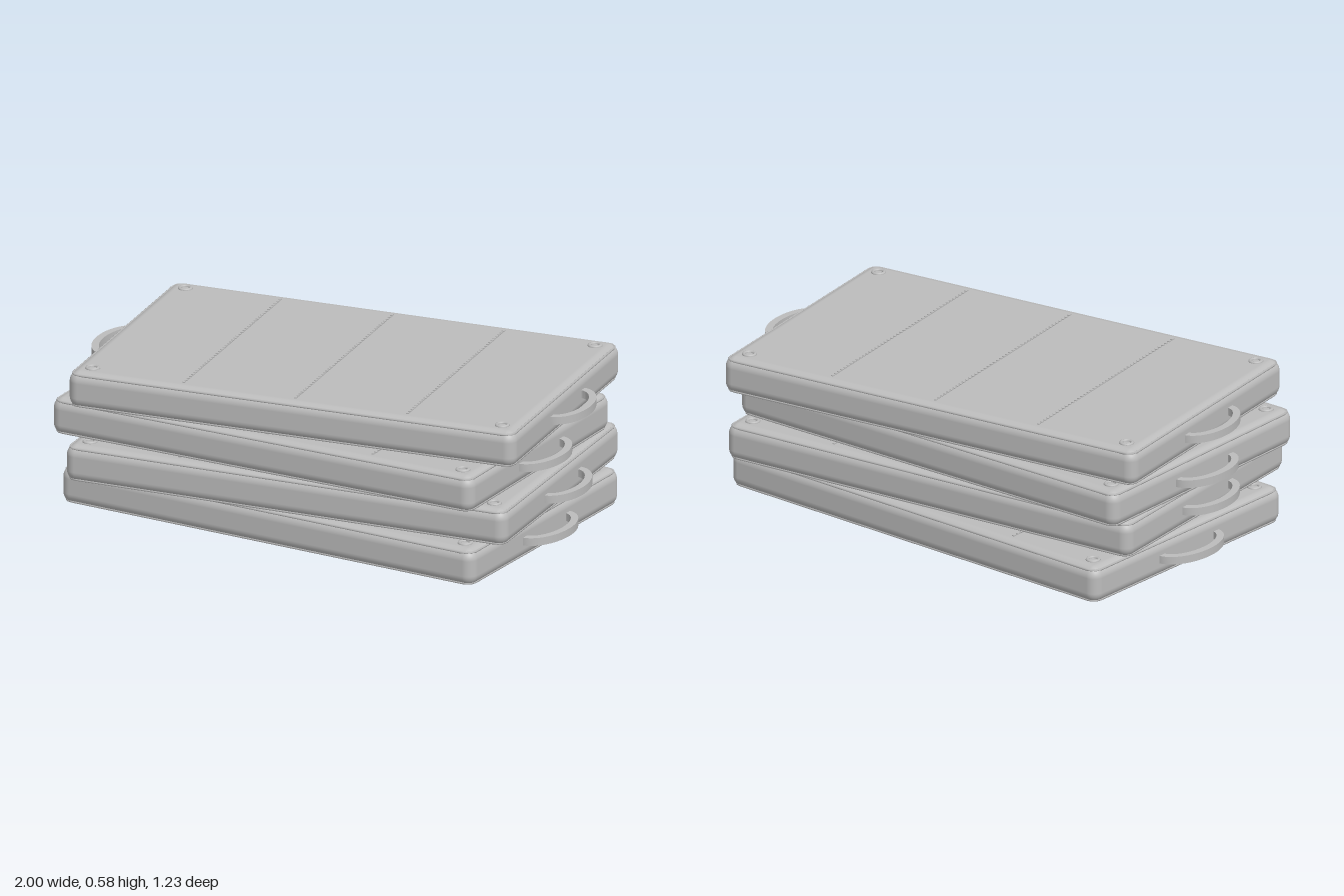
import * as THREE from 'three';
import { RoundedBoxGeometry } from 'three/addons/geometries/RoundedBoxGeometry.js';
import { toCreasedNormals } from 'three/addons/utils/BufferGeometryUtils.js';

const LENGTH = 1.768, WIDTH = 1.062, THICK = 0.143, PITCH = 0.1445, ROUND = 0.042;

// Closed tube that follows the rounded outline of a mat
function pipingGeometry() {
  const inset = ROUND * 0.29, r = 0.032;
  const x = LENGTH / 2 - inset - r, z = WIDTH / 2 - inset - r;
  const outline = new THREE.Shape();
  outline.absarc(x, z, r, 0, Math.PI / 2);
  outline.absarc(-x, z, r, Math.PI / 2, Math.PI);
  outline.absarc(-x, -z, r, Math.PI, Math.PI * 1.5);
  outline.absarc(x, -z, r, Math.PI * 1.5, Math.PI * 2);
  outline.closePath();
  const points = outline.getSpacedPoints(240).slice(0, -1).map(p => new THREE.Vector3(p.x, 0, p.y));
  return new THREE.TubeGeometry(new THREE.CatmullRomCurve3(points, true), 300, 0.005, 5, true);
}

// Flat strap bent into half an ellipse, bulging towards +x
function handleGeometry() {
  const strap = new THREE.Shape();
  strap.absellipse(0, 0, 0.1, 0.167, -Math.PI / 2, Math.PI / 2, false);
  strap.absellipse(0, 0, 0.072, 0.138, Math.PI / 2, -Math.PI / 2, true);
  const geo = new THREE.ExtrudeGeometry(strap, { depth: 0.03, bevelEnabled: false, curveSegments: 16 });
  geo.translate(LENGTH / 2 - 0.006, 0, -0.015);
  geo.rotateX(Math.PI / 2);
  return toCreasedNormals(geo, 0.6);
}

export function createModel() {
  const model = new THREE.Group();
  model.name = 'matStack';
  const grey = new THREE.MeshStandardMaterial({ color: 0xbcbcbc });
  grey.name = 'grey';

  const bodyGeo = new RoundedBoxGeometry(LENGTH, THICK, WIDTH, 5, ROUND);
  const pipingGeo = pipingGeometry();
  const handleGeo = handleGeometry();
  const stitchGeo = new THREE.BoxGeometry(0.01, 0.006, 0.014);
  const ringGeo = new THREE.TorusGeometry(0.021, 0.007, 8, 24).rotateX(Math.PI / 2);

  const add = (parent, geo, name, x = 0, y = 0, z = 0) => {
    const mesh = new THREE.Mesh(geo, grey);
    mesh.name = name;
    mesh.position.set(x, y, z);
    parent.add(mesh);
    return mesh;
  };

  function createMat() {
    const mat = new THREE.Group();
    add(mat, bodyGeo, 'cushion');

    // Piping along the top and bottom edges, a handle at each end
    for (const side of [1, -1]) {
      add(mat, pipingGeo, 'piping', 0, side * (THICK / 2 - ROUND * 0.29), 0);
      add(mat, handleGeo, 'handle').rotation.y = side > 0 ? 0 : Math.PI;
    }

    // Corner eyelets
    for (const x of [-0.81, 0.81])
      for (const z of [-0.455, 0.455]) add(mat, ringGeo, 'eyelet', x, THICK / 2, z);

    // Three rows of stitches across the top
    const count = 44;
    for (const x of [-0.442, 0, 0.442]) {
      const row = new THREE.Group();
      row.name = 'stitchRow';
      for (let i = 0; i < count; i++)
        add(row, stitchGeo, 'stitch', x, THICK / 2 + 0.001, (i / (count - 1) - 0.5) * 0.94);
      mat.add(row);
    }
    return mat;
  }

  // Offset and turn of each mat, from the floor up: x, z, angle
  const poses = [
    [-0.003, 0, -0.056],
    [0.02, 0.028, 0.073],
    [-0.023, 0.036, -0.023],
    [0.0135, 0.002, 0.104],
  ];
  poses.forEach(([x, z, angle], i) => {
    const mat = createMat();
    mat.name = 'mat' + (i + 1);
    mat.position.set(x, THICK / 2 + i * PITCH, z);
    mat.rotation.y = angle;
    model.add(mat);
  });
  return model;
}
